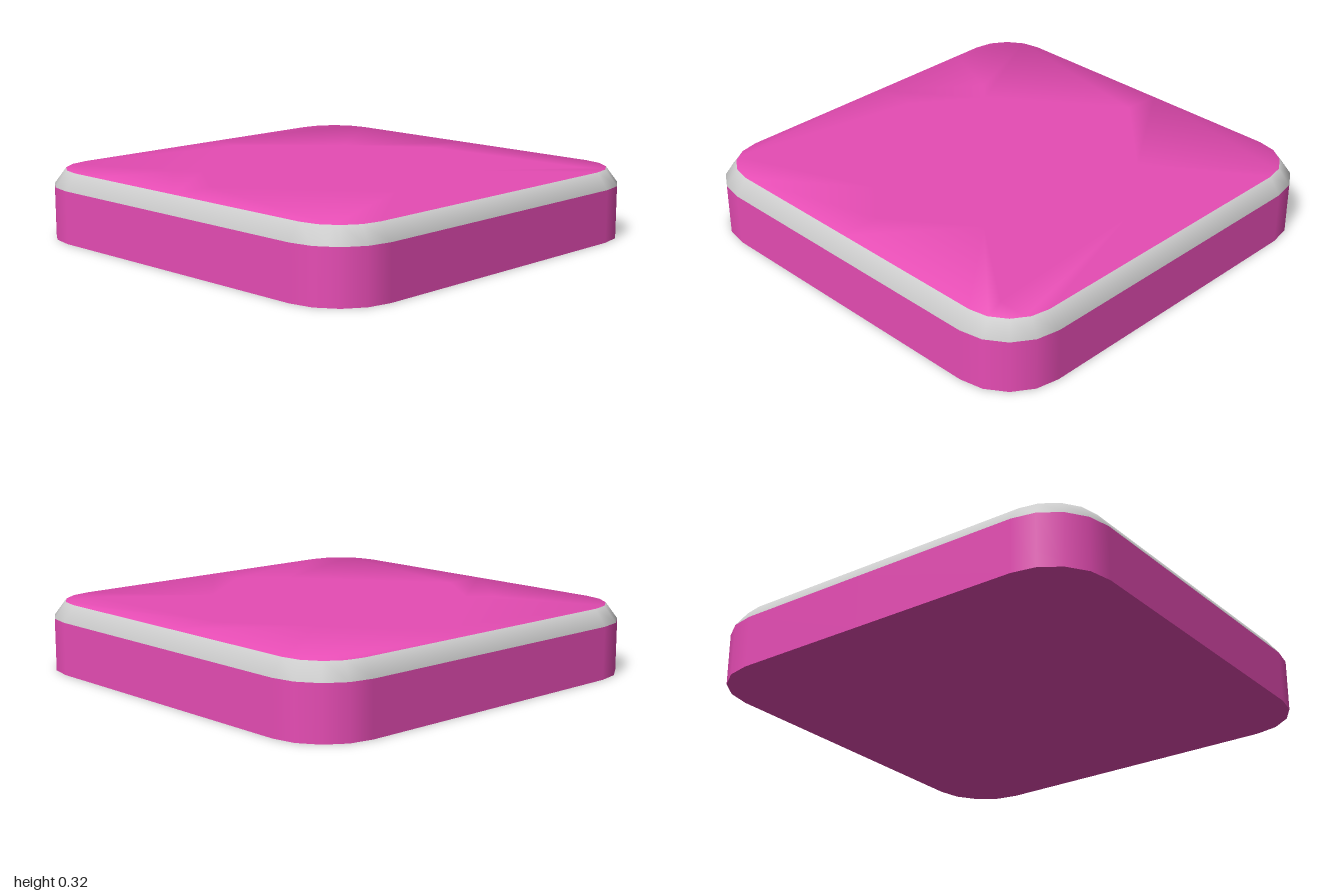
import * as THREE from 'three';

const CORE = 0.72;      // corner arc centres sit at +-CORE
const HEIGHT = 0.317, BEVEL_Y = 0.243, INSET = 0.055;
const V = (x, y, z) => new THREE.Vector3(x, y, z);

// Rounded-square outline at height y
function ring(radius, y) {
  const pts = [];
  for (let corner = 0; corner < 4; corner++) {
    const mid = (corner + 0.5) * Math.PI / 2;
    const cx = Math.sign(Math.cos(mid)) * CORE, cz = Math.sign(Math.sin(mid)) * CORE;
    for (let i = 0; i <= 4; i++) {
      const a = (corner + i / 4) * Math.PI / 2;
      pts.push(V(cx + radius * Math.cos(a), y, cz + radius * Math.sin(a)));
    }
  }
  return pts;
}

// Direction pointing straight out of the nearest side or corner
function outward(p) {
  const c = n => THREE.MathUtils.clamp(n, -CORE, CORE);
  return V(p.x - c(p.x), 0, p.z - c(p.z));
}

// Smooth normals: the rim rolls over, the middle of the top stays level
function topNormal(p) {
  const out = outward(p);
  if (out.length() < 0.2) return V(0, 1, 0);
  return out.normalize().multiplyScalar(0.5).setY(1).normalize();
}
const bevelNormal = p => p.y > HEIGHT - 0.01
  ? topNormal(p) : outward(p).normalize().setY(0.35).normalize();
const sideNormal = p => outward(p).normalize();

// Faces of the whole slab: top, base, walls and bevel band
function slabFaces() {
  const top = ring(1 - CORE - INSET, HEIGHT), mid = ring(1 - CORE, BEVEL_Y), base = ring(1 - CORE, 0);
  const faces = [
    { pts: top, normal: topNormal, ref: V(0, 1, 0) },
    { pts: base, normal: () => V(0, -1, 0), ref: V(0, -1, 0) },
  ];
  for (let i = 0; i < top.length; i++) {
    const j = (i + 1) % top.length;
    const ref = outward(mid[i].clone().add(mid[j]).multiplyScalar(0.5));
    faces.push({ pts: [base[i], base[j], mid[j], mid[i]], normal: sideNormal, ref });
    faces.push({ pts: [mid[i], mid[j], top[j], top[i]], normal: bevelNormal, ref, rim: true });
  }
  return faces;
}

// Signed distance of p from the upright plane through cell edge a-b
function distance(p, a, b) {
  const ex = b[0] - a[0], ez = b[1] - a[1];
  return (ex * (p.z - a[1]) - ez * (p.x - a[0])) / Math.hypot(ex, ez);
}

function clip(pts, a, b) {
  const kept = [];
  pts.forEach((p, i) => {
    const q = pts[(i + 1) % pts.length];
    const dp = distance(p, a, b), dq = distance(q, a, b);
    if (dp >= 0) kept.push(p);
    if (dp * dq < 0) kept.push(p.clone().lerp(q, dp / (dp - dq)));
  });
  return kept;
}

// Closing wall along one break, from the vertices that lie on it
function breakWall(faces, a, b) {
  const ref = V(b[1] - a[1], 0, a[0] - b[0]).normalize();
  const pts = [];
  for (const f of faces) for (const p of f.pts) {
    if (Math.abs(distance(p, a, b)) < 1e-5 && !pts.some(q => q.distanceTo(p) < 1e-5)) pts.push(p);
  }
  if (pts.length < 3) return null;
  const c = pts.reduce((s, p) => s.add(p), V(0, 0, 0)).divideScalar(pts.length);
  const along = V(b[0] - a[0], 0, b[1] - a[1]).normalize();
  const angle = p => Math.atan2(p.y - c.y, p.clone().sub(c).dot(along));
  pts.sort((p, q) => angle(p) - angle(q));
  return { pts, normal: () => ref, ref };
}

function toGeometry(faces) {
  const pos = [], nor = [];
  for (const { pts, normal, ref } of faces) {
    for (let i = 1; i < pts.length - 1; i++) {
      let tri = [pts[0], pts[i], pts[i + 1]];
      const n = tri[1].clone().sub(tri[0]).cross(tri[2].clone().sub(tri[0]));
      if (n.length() < 1e-9) continue;
      if (n.dot(ref) < 0) tri = [tri[0], tri[2], tri[1]];
      for (const p of tri) {
        pos.push(p.x, p.y, p.z);
        nor.push(...normal(p).toArray());
      }
    }
  }
  const g = new THREE.BufferGeometry();
  g.setAttribute('position', new THREE.Float32BufferAttribute(pos, 3));
  g.setAttribute('normal', new THREE.Float32BufferAttribute(nor, 3));
  return g;
}

// Break pattern in x, z; outer corners run past the slab
const CELLS = {
  centre: [[-.77, -.06], [-.38, -.45], [-.02, -.71], [.48, -.33], [.755, .045], [.59, .24], [-.05, .725], [-.35, .51]],
  backRight: [[-.77, -.06], [-1.3, -.1], [-1.3, -1.3], [-1.1, -1.3], [-.38, -.45]],
  back: [[-.38, -.45], [-1.1, -1.3], [-.01, -1.3], [-.02, -.71]],
  backLeft: [[-.02, -.71], [-.01, -1.3], [.85, -1.3], [.82, -.77], [.48, -.33]],
  backLeftCorner: [[.82, -.77], [.85, -1.3], [1.3, -1.3], [1.3, -.96]],
  left: [[.48, -.33], [.82, -.77], [1.3, -.96], [1.3, .045], [.755, .045]],
  frontLeftSide: [[.755, .045], [1.3, .045], [1.3, 1.3], [1.02, 1.3], [.59, .24]],
  frontLeft: [[.59, .24], [1.02, 1.3], [-.02, 1.3], [-.05, .725]],
  front: [[-.05, .725], [-.02, 1.3], [-.72, 1.3], [-.44, .61], [-.35, .51]],
  frontRightCorner: [[-.44, .61], [-.72, 1.3], [-1.4, 1.3], [-1.4, 1]],
  right: [[-.77, -.06], [-.35, .51], [-.44, .61], [-1.4, 1], [-1.3, -.1]],
};

export function createModel() {
  const model = new THREE.Group();
  model.name = 'brokenTile';
  const pink = new THREE.MeshStandardMaterial({ color: 0xe64cb4 });
  const grey = new THREE.MeshStandardMaterial({ color: 0xcccccc });
  const slab = slabFaces();

  for (const [name, cell] of Object.entries(CELLS)) {
    const edges = cell.map((a, i) => [a, cell[(i + 1) % cell.length]]);
    const faces = slab
      .map(f => ({ ...f, pts: edges.reduce((pts, [a, b]) => clip(pts, a, b), f.pts) }))
      .filter(f => f.pts.length > 2);
    const walls = edges.map(([a, b]) => breakWall(faces, a, b)).filter(Boolean);

    const piece = new THREE.Group();
    piece.name = name + 'Piece';
    const body = new THREE.Mesh(toGeometry([...faces.filter(f => !f.rim), ...walls]), pink);
    body.name = name + 'Body';
    piece.add(body);

    // Grey bevelled edge, on the outer pieces only
    const rimFaces = faces.filter(f => f.rim);
    if (rimFaces.length) {
      const rim = new THREE.Mesh(toGeometry(rimFaces), grey);
      rim.name = name + 'Rim';
      piece.add(rim);
    }
    model.add(piece);
  }
  return model;
}
